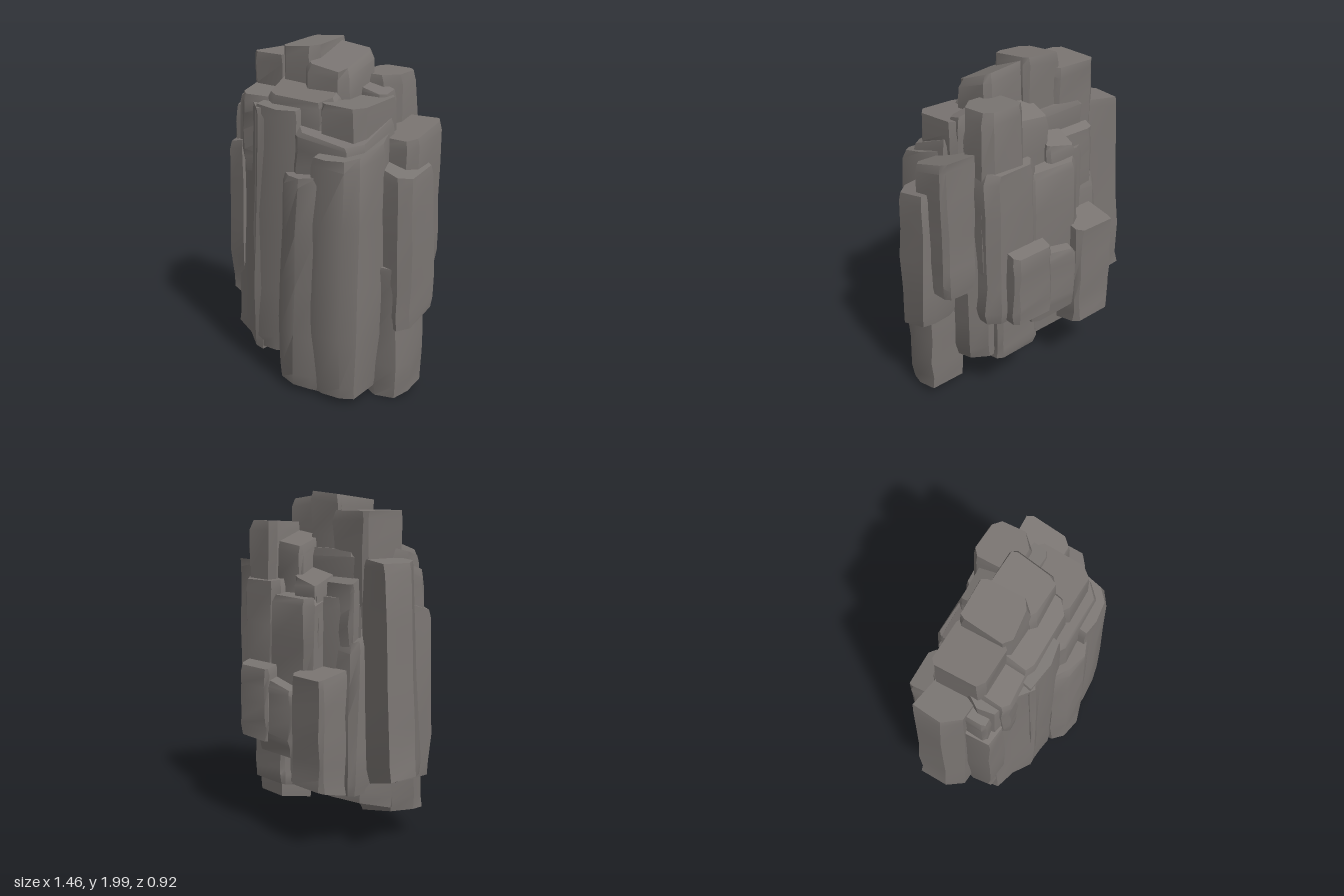
import * as THREE from 'three';
import { toCreasedNormals, mergeVertices } from 'three/addons/utils/BufferGeometryUtils.js';

let seed = 7;
const rnd = () => {
  seed = (seed * 16807) % 2147483647;
  return seed / 2147483647 - 0.5;
};

const stone = new THREE.MeshStandardMaterial({ color: 0x7a7572, roughness: 1 });

// Rough stone column: polygon footprint [x, z], bottom and top heights.
// top / bottom = [slope along x, slope along z] of the ends; lean = [x, z] shift of the upper end;
// foot / taper scale the lower and upper ends; chamfer scales the end faces.
function column(name, pts, y0, y1, { top = [0, 0], bottom = [0, 0], lean = [0, 0], foot = 1, taper = 0.97, chamfer = 0.93 } = {}) {
  const area = pts.reduce((s, p, i) => {
    const q = pts[(i + 1) % pts.length];
    return s + p[0] * q[1] - q[0] * p[1];
  }, 0);
  const ring = area > 0 ? pts.slice().reverse() : pts;
  const n = ring.length;
  const cx = ring.reduce((s, p) => s + p[0], 0) / n;
  const cz = ring.reduce((s, p) => s + p[1], 0) / n;
  const h = y1 - y0;
  const c = Math.min(0.05, h * 0.1) / h;
  const levels = [[0, chamfer * foot], [c * 1.5, foot], [0.25, 1], [0.48, 1], [0.72, (1 + taper) / 2], [1 - c, taper], [1, taper * chamfer]];
  const pos = [], idx = [];
  levels.forEach(([t, s], r) => {
    const end = r === 0 || r === levels.length - 1;
    ring.forEach(([x, z]) => {
      const k = s * (end ? 1 + rnd() * 0.1 : 1);
      const px = cx + (x - cx) * k + rnd() * 0.014;
      const pz = cz + (z - cz) * k + rnd() * 0.014;
      const tilt = t > 0.5 ? top : bottom;
      const w = Math.abs(t - 0.5) * 2;
      const dy = w * (tilt[0] * (px - cx) + tilt[1] * (pz - cz));
      pos.push(px + lean[0] * t, y0 + h * t + dy + (end ? 0 : rnd() * 0.025), pz + lean[1] * t);
    });
  });
  for (let r = 0; r < levels.length - 1; r++) {
    for (let i = 0; i < n; i++) {
      const a = r * n + i, b = r * n + (i + 1) % n;
      idx.push(a, b, b + n, a, b + n, a + n);
    }
  }
  // End caps
  const last = (levels.length - 1) * n, lo = pos.length / 3, hi = lo + 1;
  pos.push(cx, y0, cz, cx + lean[0], y1, cz + lean[1]);
  for (let i = 0; i < n; i++) {
    const j = (i + 1) % n;
    idx.push(lo, j, i, hi, last + i, last + j);
  }
  const g = new THREE.BufferGeometry();
  g.setAttribute('position', new THREE.Float32BufferAttribute(pos, 3));
  g.setIndex(idx);
  const mesh = new THREE.Mesh(toCreasedNormals(mergeVertices(g), 0.55), stone);
  mesh.name = name;
  return mesh;
}

// Footprint of a block with uneven cut corners
function block(x0, x1, z0, z1, cut = 0.16) {
  const a = (x1 - x0) * cut, b = (z1 - z0) * cut;
  return [[x0, z0 + b * 0.4], [x0 + a * 0.5, z0], [x1 - a * 0.6, z0], [x1, z0 + b * 0.6],
    [x1, z1 - b], [x1 - a, z1], [x0 + a * 0.8, z1], [x0, z1 - b * 0.7]];
}

export function createModel() {
  seed = 7;
  const rock = new THREE.Group();
  rock.name = 'columnarRock';
  const add = (...args) => rock.add(column(...args));

  // Inner mass
  add('core', [[-0.49, 0], [-0.44, -0.2], [-0.3, -0.28], [0.42, -0.28], [0.5, -0.2], [0.5, 0.2], [0.4, 0.25], [-0.4, 0.2]],
    0.22, 1.42, { bottom: [0, -0.28], chamfer: 0.95 });
  add('upperCore', block(-0.44, 0.42, -0.2, 0.16), 1.2, 1.68);

  // Front columns
  add('frontMainColumn', [[-0.07, 0.36], [0, 0.43], [0.13, 0.465], [0.25, 0.43], [0.36, 0.4], [0.36, 0.1], [-0.05, 0.1]],
    0.06, 1.3, { foot: 0.92, taper: 0.97, lean: [0.02, -0.05], bottom: [-0.08, -0.18], top: [0.12, -0.1] });
  add('frontLeftColumn', [[0.2, 0.42], [0.3, 0.44], [0.45, 0.43], [0.53, 0.38], [0.55, 0.18], [0.5, 0.05], [0.2, 0.05]],
    0.06, 1.46, { foot: 0.9, taper: 0.94, lean: [0, -0.04], bottom: [0, -0.15], top: [0.05, -0.3] });
  add('frontMiddleColumn', [[-0.29, 0.32], [-0.1, 0.35], [0.04, 0.33], [0.08, 0], [-0.25, 0]],
    0.17, 1.66, { lean: [0, -0.03], bottom: [0.2, -0.1], top: [0, -0.3] });
  add('frontRightColumn', [[-0.55, 0.12], [-0.53, 0.21], [-0.4, 0.25], [-0.28, 0.335], [-0.22, 0.33], [-0.2, 0], [-0.48, 0]],
    0.15, 1.65, { lean: [0.03, -0.03], bottom: [-0.22, -0.05], top: [0, -0.3] });
  add('rightCornerColumn', [[-0.61, 0.06], [-0.6, 0.2], [-0.47, 0.22], [-0.38, 0.1], [-0.42, -0.05], [-0.58, -0.05]],
    0.37, 1.4, { foot: 0.9, bottom: [-0.3, 0], top: [0.3, -0.3], lean: [0.01, 0] });
  add('rightCornerCap', block(-0.57, -0.42, -0.02, 0.17), 1.2, 1.6, { top: [0.1, -0.3] });
  add('frontUpperLedge', block(0, 0.5, -0.05, 0.33), 1.1, 1.57, { top: [-0.1, -0.4] });

  // Side columns
  add('rightSideColumn', [[-0.735, -0.05], [-0.715, -0.23], [-0.5, -0.2], [-0.42, -0.05], [-0.5, 0.06], [-0.66, 0.05]],
    0.42, 1.63, { bottom: [-0.3, 0], top: [0.08, 0], lean: [0.07, 0.01], taper: 0.96, chamfer: 0.97 });
  add('leftSideColumn', [[0.52, 0.16], [0.66, 0.18], [0.725, 0.13], [0.73, -0.08], [0.66, -0.1], [0.45, -0.08], [0.46, 0.08]],
    0.49, 1.36, { bottom: [0, -0.35], top: [-0.2, -0.2], lean: [-0.02, -0.01], foot: 0.95 });
  add('leftFootColumn', [[0.42, 0.15], [0.52, 0.19], [0.65, 0.17], [0.68, 0.06], [0.67, -0.07], [0.44, -0.07]],
    0.03, 0.8, { bottom: [0, -0.2] });
  add('leftRearColumn', block(0.36, 0.67, -0.23, 0.06), 0.75, 1.54, { top: [0.02, -0.3], chamfer: 0.95 });

  // Summit blocks
  add('summitPeak', block(-0.23, 0.04, -0.17, 0.13), 1.2, 1.97, { top: [0.08, -0.12], chamfer: 0.94, taper: 0.99 });
  add('summitLeft', block(-0.03, 0.28, -0.13, 0.17), 1.2, 1.91, { top: [-0.1, -0.4], chamfer: 0.9 });
  add('summitRight', block(-0.47, -0.18, -0.19, 0.11), 1.2, 1.89, { taper: 1, chamfer: 0.97 });
  add('frontSummitLedge', block(-0.24, 0.25, -0.02, 0.26), 1.2, 1.76, { top: [0, -0.6] });
  add('frontRightLedge', block(-0.46, -0.15, 0, 0.24), 1.2, 1.7, { top: [0, -0.35] });
  add('frontLeftLedge', block(0.16, 0.47, -0.08, 0.27), 1.1, 1.7, { top: [0, -0.1], taper: 1 });
  add('leftSummitStep', block(0.24, 0.44, -0.09, 0.02), 1.4, 1.75, { top: [-0.2, -0.3] });
  add('rearLeftPeak', block(0.18, 0.46, -0.34, -0.06, 0.3), 0.7, 1.82, { lean: [-0.01, 0.01], top: [0, -0.05] });
  add('rearMiddlePeak', block(-0.04, 0.22, -0.29, -0.05), 0.9, 1.74, { top: [0.1, 0.4] });
  add('rearSmallPeak', block(-0.21, 0, -0.32, -0.12), 1.0, 1.54, { top: [0.2, 0.5] });
  add('rearRightPeak', block(-0.42, -0.18, -0.25, -0.05), 1.0, 1.55, { top: [0, 0.6] });

  // Rear columns
  add('rearMiddleColumn', block(-0.21, 0.2, -0.38, -0.05, 0.25), 0.48, 1.44, { top: [0, 0.25], lean: [0, 0.01] });
  add('rearLeftColumn', block(0.1, 0.46, -0.375, -0.05, 0.3), 0.55, 1.51, { top: [0, 0.2], lean: [0, 0.01] });
  add('rearRightColumn', block(-0.47, -0.16, -0.29, 0, 0.25), 0.32, 1.25, { top: [0, 0.6], lean: [0, 0.03] });
  add('rearLowColumn', block(-0.41, -0.13, -0.455, -0.15), 0.33, 1.02, { bottom: [0, -0.25], top: [0, 0.2], foot: 0.99, chamfer: 0.97 });
  add('rearShelf', block(-0.13, 0.2, -0.44, -0.15), 0.5, 0.95, { top: [0.2, 0.3] });
  add('rearLeftShelf', block(0.08, 0.355, -0.455, -0.2), 0.56, 1.02, { top: [0, 0.3], chamfer: 0.96 });
  add('rearLowBlock', block(0.08, 0.38, -0.34, -0.05), 0.25, 0.7, { bottom: [0, -0.2], chamfer: 0.97 });
  return rock;
}
